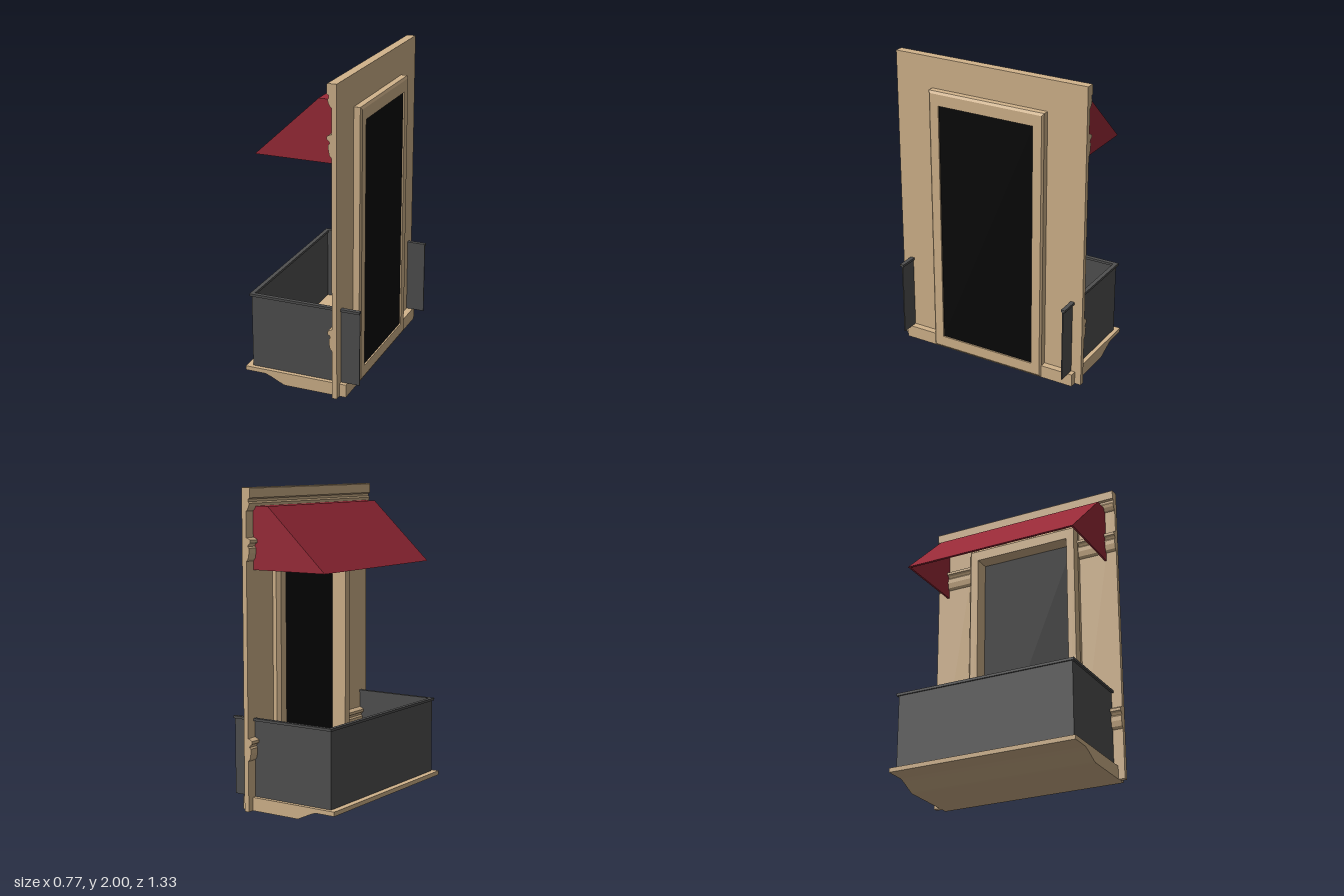
import * as THREE from 'three';

const mat = (color) => new THREE.MeshStandardMaterial({ color, flatShading: true, side: THREE.DoubleSide });

export function createModel() {
  const model = new THREE.Group();
  const stone = mat(0xd2b48c), cloth = mat(0x9b2a38), metal = mat(0x505050), dark = mat(0x080808);

  const add = (name, geometry, material) => {
    const mesh = new THREE.Mesh(geometry, material);
    mesh.name = name;
    model.add(mesh);
    return mesh;
  };
  // Box given by its limits on each axis
  const box = (name, [x0, x1], [y0, y1], [z0, z1], material) =>
    add(name, new THREE.BoxGeometry(x1 - x0, y1 - y0, z1 - z0), material)
      .position.set((x0 + x1) / 2, (y0 + y1) / 2, (z0 + z1) / 2);
  // Side profile in x and y, extruded from z0 to z1
  const profile = (name, points, z0, z1, material) => {
    const shape = new THREE.Shape(points.map(([x, y]) => new THREE.Vector2(x, y)));
    add(name, new THREE.ExtrudeGeometry(shape, { depth: z1 - z0, bevelEnabled: false }), material)
      .position.z = z0;
  };

  // Wall around the doorway
  for (const s of [-1, 1]) {
    box('wallSide', [0.225, 0.257], [0, 2], s > 0 ? [0.36, 0.667] : [-0.667, -0.36], stone);
  }
  box('wallTop', [0.225, 0.257], [1.75, 2], [-0.36, 0.36], stone);

  // Floor slab with a tapered underside
  profile('floorSlab', [[-0.385, 0.085], [-0.385, 0.057], [-0.25, 0.057], [-0.215, 0.045],
    [-0.125, 0.003], [-0.11, 0], [0.3, 0], [0.3, 0.085]], -0.625, 0.625, stone);

  // Cornice along the top of the wall
  profile('cornice', [[0.23, 2], [0.2, 2], [0.195, 1.995], [0.195, 1.938], [0.208, 1.93], [0.208, 1.915],
    [0.2, 1.905], [0.205, 1.885], [0.215, 1.865], [0.23, 1.855]], -0.667, 0.667, stone);

  // Wall mouldings on both sides of the door
  const moulding = [[0.23, 0.465], [0.215, 0.462], [0.195, 0.45], [0.195, 0.432], [0.208, 0.424],
    [0.215, 0.41], [0.205, 0.4], [0.205, 0.37], [0.212, 0.335], [0.23, 0.315]];
  for (const lift of [0, 1.235]) {
    const points = moulding.map(([x, y]) => [x, y + lift]);
    profile('moulding', points, 0.39, 0.667, stone);
    profile('moulding', points, -0.667, -0.39, stone);
  }

  // Door frame: a section swept round the doorway (t: 0 outer edge, 1 inner edge)
  const section = [[0, 0.198], [0, 0.298], [0.17, 0.308], [1, 0.308], [1, 0.175], [0.25, 0.175]];
  const corner = (j, [t, x]) => {
    const z = 0.405 - 0.072 * t;
    return [x, j === 1 || j === 2 ? 1.8 - 0.09 * t : 0.085 * t, j < 2 ? z : -z];
  };
  const verts = [];
  for (let j = 0; j < 4; j++) {
    for (let k = 0; k < section.length; k++) {
      const p = section[k], q = section[(k + 1) % section.length], n = (j + 1) % 4;
      const a = corner(j, p), b = corner(n, p), c = corner(j, q), d = corner(n, q);
      verts.push(...a, ...c, ...d, ...a, ...d, ...b);
    }
  }
  const frame = new THREE.BufferGeometry();
  frame.setAttribute('position', new THREE.Float32BufferAttribute(verts, 3));
  frame.computeVertexNormals();
  add('doorFrame', frame, stone);
  box('doorPanel', [0.278, 0.298], [0.083, 1.712], [-0.335, 0.335], dark);

  // Railing panels and handrails
  box('frontRailingPanel', [-0.345, -0.338], [0.085, 0.57], [-0.598, 0.598], metal);
  box('frontHandrail', [-0.355, -0.328], [0.567, 0.583], [-0.611, 0.611], metal);
  for (const s of [-1, 1]) {
    const span = (a, b) => (s > 0 ? [a, b] : [-b, -a]);
    box('sideRailingPanel', [-0.338, 0.38], [0.085, 0.57], span(0.591, 0.598), metal);
    box('sideHandrail', [-0.328, 0.382], [0.567, 0.583], span(0.584, 0.611), metal);
  }

  // Awning: sloped cover and two cheeks, open underneath
  profile('awningCover', [[-0.3, 1.5], [0.115, 1.887], [0.225, 1.887], [0.225, 1.875],
    [0.12, 1.875], [-0.282, 1.5]], -0.585, 0.585, cloth);
  const cheek = [[-0.3, 1.5], [0.115, 1.887], [0.226, 1.887], [0.226, 1.5]];
  profile('awningCheek', cheek, 0.585, 0.597, cloth);
  profile('awningCheek', cheek, -0.597, -0.585, cloth);

  return model;
}
